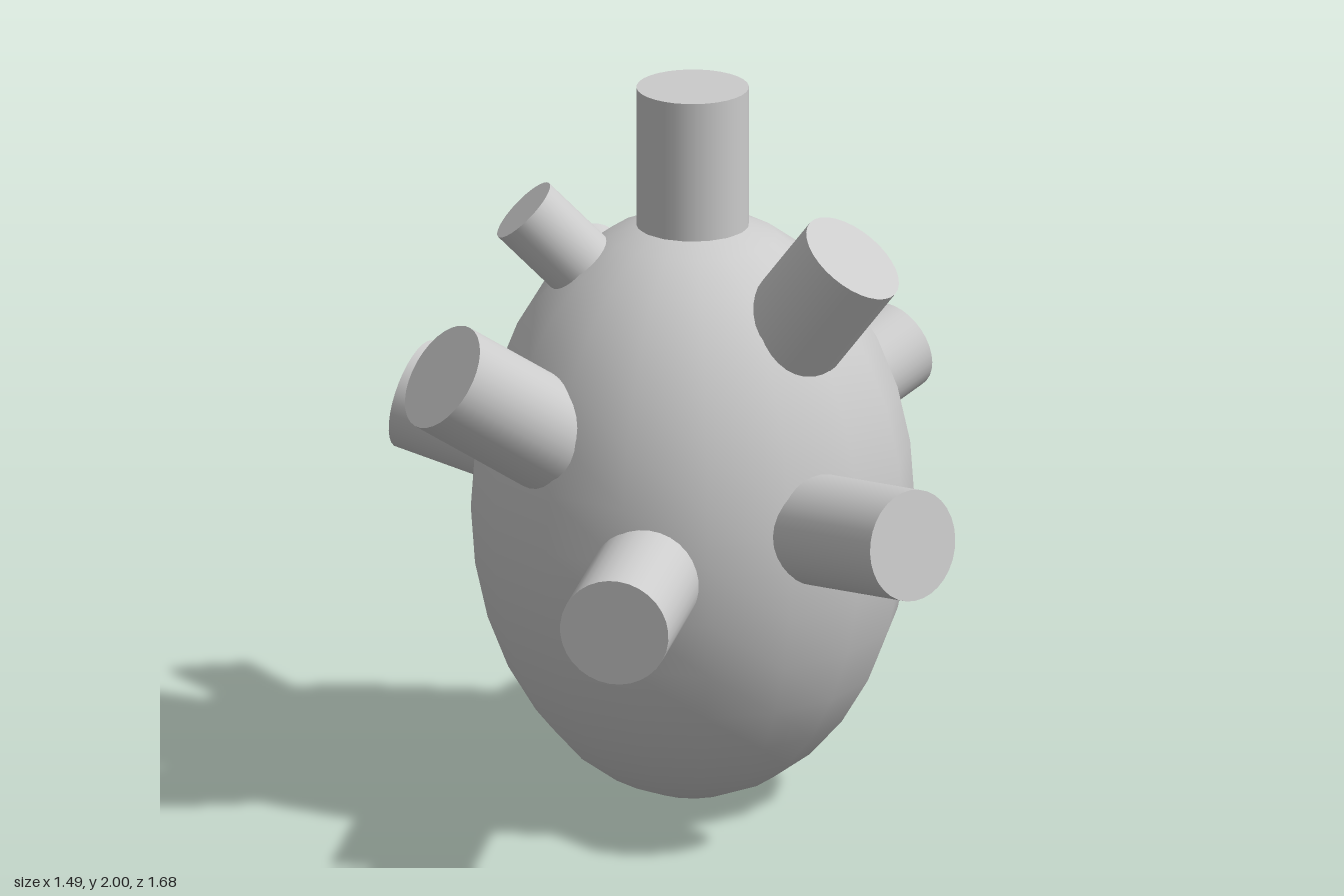
import * as THREE from 'three';

export function createModel() {
  const model = new THREE.Group();
  const grey = new THREE.MeshStandardMaterial({ color: 0xcccccc });
  const up = new THREE.Vector3(0, 1, 0);

  // Egg-shaped body
  const body = new THREE.Mesh(new THREE.SphereGeometry(1, 16, 16).scale(0.6, 0.82, 0.6), grey);
  body.name = 'body';
  body.position.set(0.057, 0.822, -0.115);
  model.add(body);

  // A closed pipe: centre of its outer cap, outward direction, radius; the inner end is buried in the body
  function addPipe(name, cap, direction, radius) {
    const length = 0.6;
    const axis = new THREE.Vector3(...direction).normalize();
    const pipe = new THREE.Mesh(new THREE.CylinderGeometry(radius, radius, length, 32), grey);
    pipe.name = name;
    pipe.quaternion.setFromUnitVectors(up, axis);
    pipe.position.set(...cap).addScaledVector(axis, -length / 2);
    model.add(pipe);
  }

  // Pipes sticking out all around
  addPipe('topPipe', [0.057, 2, -0.113], [0, 1, 0], 0.152);
  addPipe('frontPipe', [-0.218, 0.752, 0.797], [-0.283, -0.065, 0.957], 0.15);
  addPipe('frontLeftPipe', [0.598, 0.94, 0.67], [0.6, 0.125, 0.79], 0.152);
  addPipe('upperLeftPipe', [0.465, 1.62, 0.244], [0.53, 0.79, 0.3], 0.15);
  addPipe('upperRightPipe', [-0.648, 1.325, 0.295], [-0.77, 0.555, 0.32], 0.152);
  addPipe('backLeftPipe', [0.65, 1.05, -0.745], [0.68, 0.24, -0.68], 0.128);
  addPipe('backRightPipe', [-0.664, 1.0, -0.563], [-0.85, 0.2, -0.47], 0.152);
  addPipe('smallRightPipe', [-0.4, 1.66, -0.116], [-0.7, 0.714, 0], 0.1);
  addPipe('smallBackPipe', [-0.19, 1.32, -0.777], [-0.25, 0.36, -0.9], 0.1);

  return model;
}
